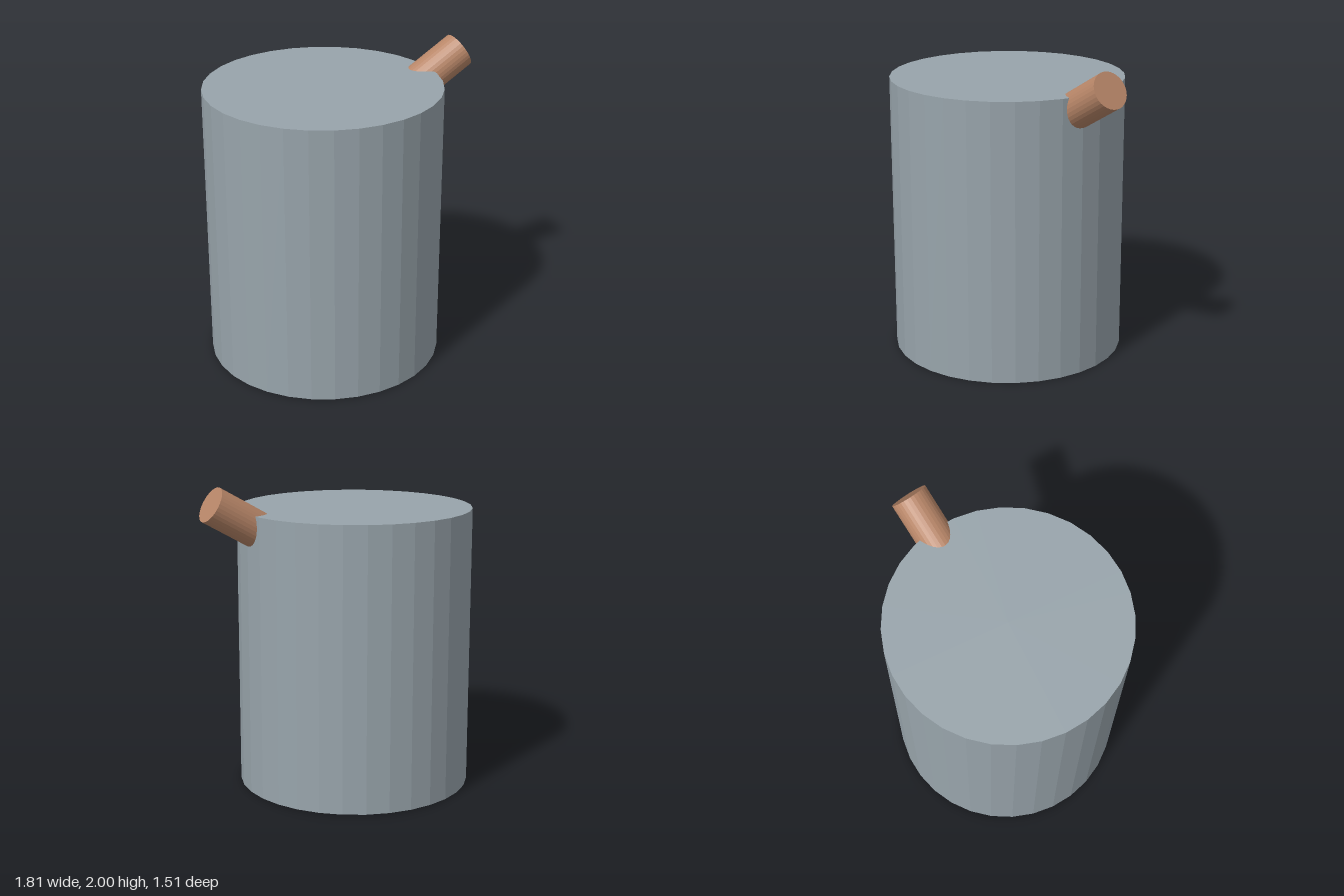
import * as THREE from 'three';

export function createModel() {
  const group = new THREE.Group();
  const steel = new THREE.MeshStandardMaterial({ color: 0x98a4ab, flatShading: true });
  const copper = new THREE.MeshStandardMaterial({ color: 0xb88668, flatShading: true });

  // Closed cylindrical tank, standing on the ground
  const height = 1.82;
  const tank = new THREE.Mesh(new THREE.CylinderGeometry(0.757, 0.757, height, 32), steel);
  tank.name = 'tank';
  tank.position.set(-0.152, height / 2, 0);
  group.add(tank);

  // Short pipe rising 30 degrees outward through the top rim
  const tilt = Math.PI / 6;
  const length = 0.52;
  const tip = new THREE.Vector2(0.846, 1.897);
  const spout = new THREE.Mesh(new THREE.CylinderGeometry(0.119, 0.119, length, 32), copper);
  spout.name = 'spout';
  spout.rotation.z = tilt - Math.PI / 2;
  spout.position.set(
    tip.x - Math.cos(tilt) * length / 2,
    tip.y - Math.sin(tilt) * length / 2,
    0
  );
  group.add(spout);

  return group;
}
